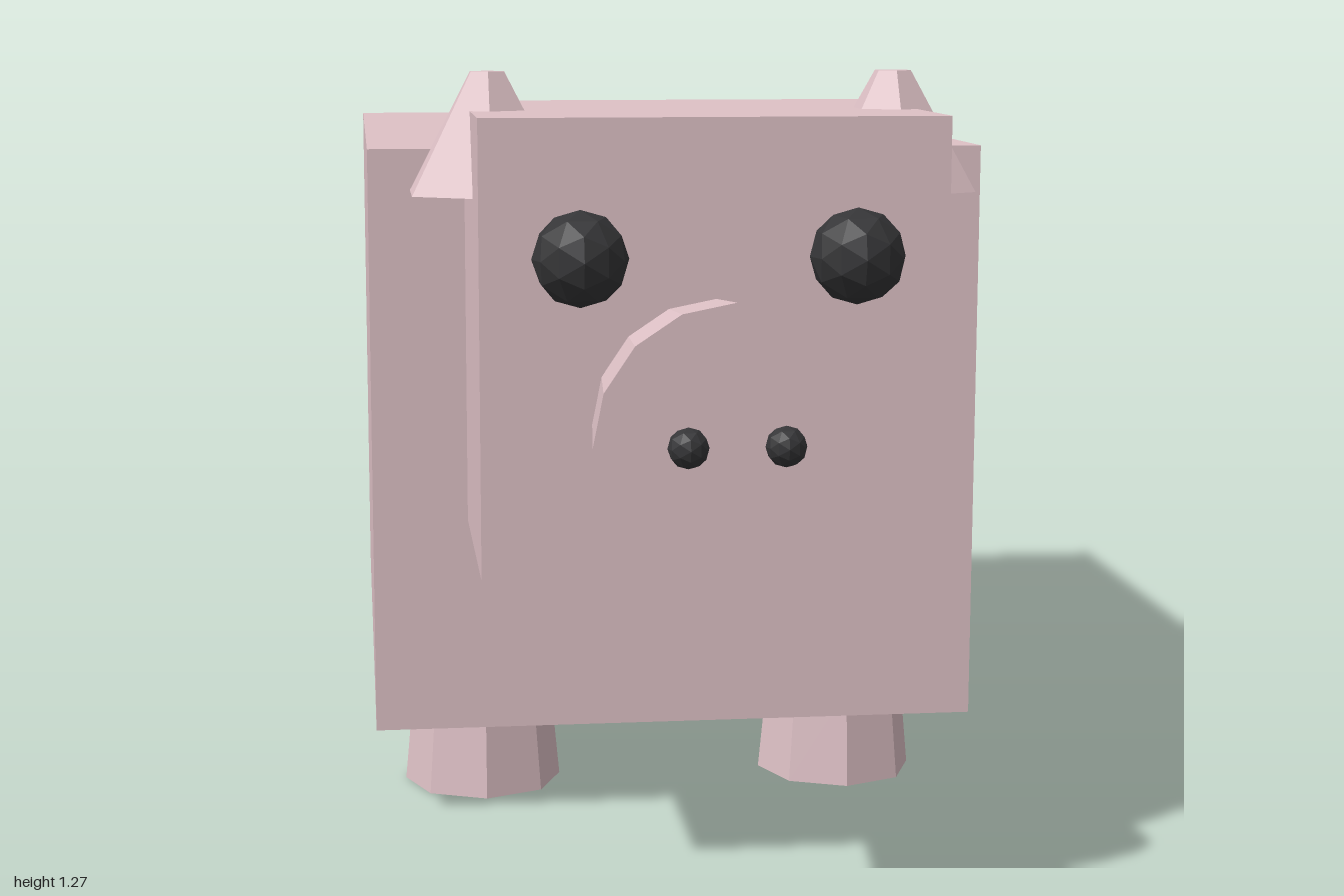
import * as THREE from 'three';

export function createModel() {
  const pink = new THREE.MeshStandardMaterial({ color: 0xdec1c6 });
  pink.name = 'skin pink';
  pink.flatShading = true;
  const dark = new THREE.MeshStandardMaterial({ color: 0x353537 });
  dark.name = 'eye charcoal';
  dark.flatShading = true;

  const model = new THREE.Group();
  model.name = 'pig';
  // the whole animal is turned 40 degrees towards its left
  const pig = new THREE.Group();
  pig.name = 'turnedPig';
  pig.rotation.y = THREE.MathUtils.degToRad(40);
  model.add(pig);

  const midX = 0.027; // symmetry line of the animal
  const add = (name, geometry, material, x, y, z) => {
    const mesh = new THREE.Mesh(geometry, material);
    mesh.name = name;
    mesh.position.set(midX + x, y, z);
    pig.add(mesh);
    return mesh;
  };

  // body and head blocks
  add('body', new THREE.BoxGeometry(1.022, 0.98, 1.345), pink, 0, 0.65, -0.178);
  add('head', new THREE.BoxGeometry(0.706, 0.69, 0.65), pink, 0, 0.865, 0.615);

  // snout, slightly wider at its front
  const snout = add('snout', new THREE.CylinderGeometry(0.205, 0.185, 0.216, 16), pink, 0, 0.755, 1.038);
  snout.rotation.x = Math.PI / 2;

  // tail, sloping down and widening towards its end
  const base = new THREE.Vector3(0, 0.835, -0.83);
  const tip = new THREE.Vector3(0, 0.76, -0.998);
  const along = tip.clone().sub(base);
  const middle = base.clone().add(tip).multiplyScalar(0.5);
  const tail = add('tail', new THREE.CylinderGeometry(0.047, 0.026, along.length(), 6), pink, 0, middle.y, middle.z);
  tail.quaternion.setFromUnitVectors(new THREE.Vector3(0, 1, 0), along.normalize());

  // paired parts
  for (const [side, s] of [['left', 1], ['right', -1]]) {
    add(side + 'Eye', new THREE.IcosahedronGeometry(0.072, 1), dark, s * 0.206, 1.006, 0.974);
    add(side + 'Nostril', new THREE.IcosahedronGeometry(0.03, 1), dark, s * 0.07, 0.755, 1.155);
    add(side + 'Ear', new THREE.CylinderGeometry(0.03, 0.14, 0.19, 6), pink, s * 0.323, 1.175, 0.658);
    for (const [end, z] of [['Front', 0.255], ['Back', -0.595]]) {
      add(side + end + 'Leg', new THREE.CylinderGeometry(0.122, 0.138, 0.17, 8), pink, s * 0.32, 0.085, z);
    }
  }
  return model;
}
